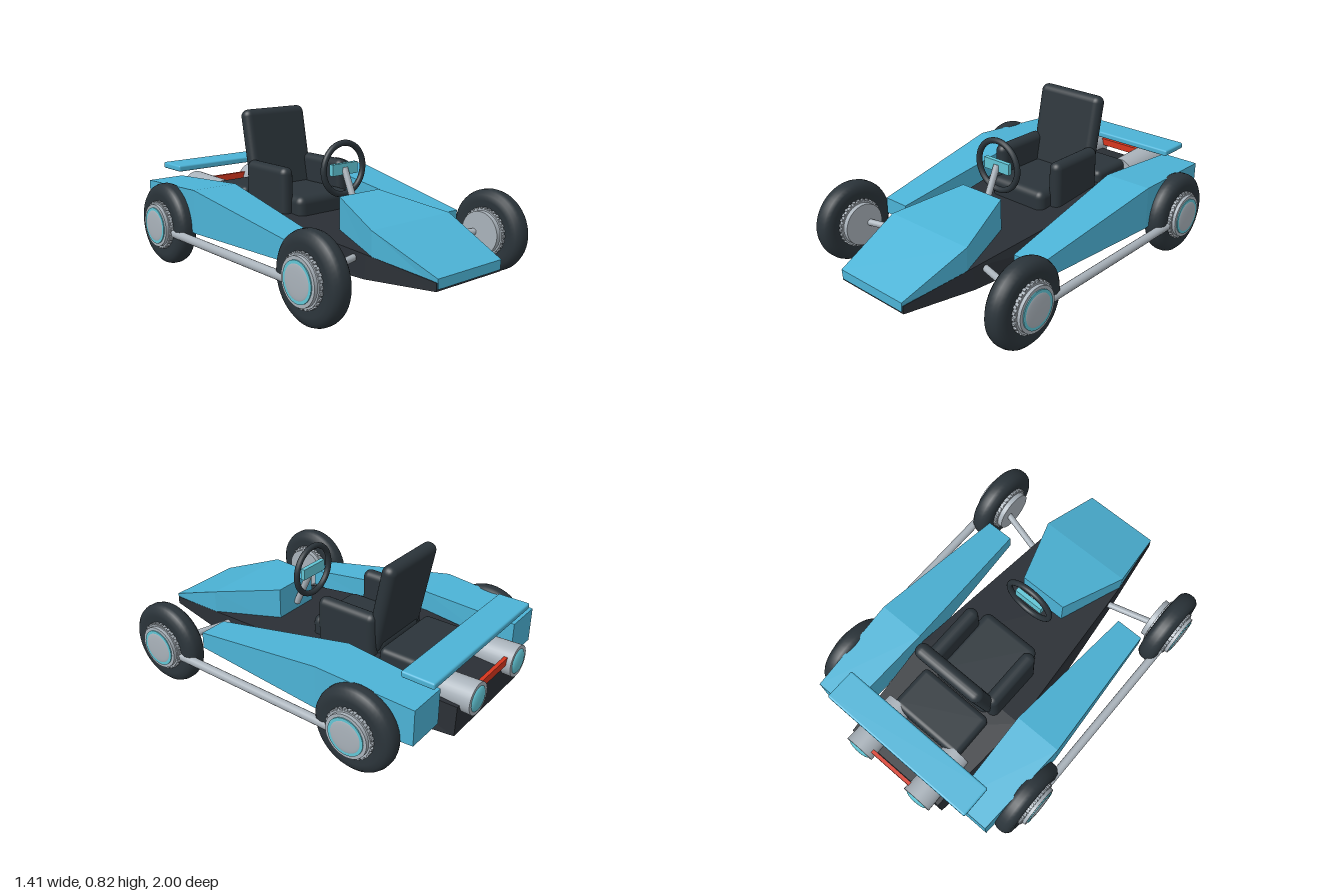
import * as THREE from 'three';
import { RoundedBoxGeometry } from 'three/addons/geometries/RoundedBoxGeometry.js';

const mat = (name, color, extra = {}) => {
  const m = new THREE.MeshStandardMaterial({ color, ...extra });
  m.name = name;
  return m;
};

export function createModel() {
  const root = new THREE.Group();
  root.name = 'goKart';
  const blue = mat('bodyBlue', 0x4cb3d6);
  const dark = mat('chassisDark', 0x2a2f35);
  const rubber = mat('rubberDark', 0x2b343a);
  const metal = mat('metalGrey', 0xa9b2ba);
  const trim = mat('trimCyan', 0x62c6d6);
  const red = mat('lightRed', 0xd6361e);

  const add = (name, geo, material, x = 0, y = 0, z = 0, parent = root) => {
    const m = new THREE.Mesh(geo, material);
    m.name = name;
    m.position.set(x, y, z);
    parent.add(m);
    return m;
  };

  // Flat-sided body lofted through sections, back to front:
  // [z, left bottom x, right bottom x, left top x, right top x, bottom y, top y]
  const loft = (sections) => {
    const rings = sections.map(([z, lb, rb, lt, rt, yb, yt]) =>
      [[lb, yb, z], [rb, yb, z], [rt, yt, z], [lt, yt, z]]);
    const p = [];
    const quad = (a, b, c, d) => p.push(...a, ...b, ...c, ...a, ...c, ...d);
    for (let i = 0; i < rings.length - 1; i++) {
      const a = rings[i], b = rings[i + 1];
      for (let j = 0; j < 4; j++) {
        const k = (j + 1) % 4;
        quad(a[j], a[k], b[k], b[j]);
      }
    }
    const f = rings[rings.length - 1], r = rings[0];
    quad(f[0], f[1], f[2], f[3]);
    quad(r[3], r[2], r[1], r[0]);
    const g = new THREE.BufferGeometry();
    g.setAttribute('position', new THREE.Float32BufferAttribute(p, 3));
    g.computeVertexNormals();
    return g;
  };
  const symmetric = (list) => loft(list.map(([z, b, t, yb, yt]) => [z, -b, b, -t, t, yb, yt]));

  // Round bar between two points
  const bar = (name, a, b, radius, material) => {
    const A = new THREE.Vector3(...a), B = new THREE.Vector3(...b);
    const m = add(name, new THREE.CylinderGeometry(radius, radius, A.distanceTo(B), 16), material);
    m.position.copy(A).add(B).multiplyScalar(0.5);
    m.quaternion.setFromUnitVectors(new THREE.Vector3(0, 1, 0), B.sub(A).normalize());
    return m;
  };

  // Chassis tub and nose cowl
  add('chassis', symmetric([
    [-0.935, 0.31, 0.3, 0.145, 0.3],
    [-0.35, 0.38, 0.345, 0.13, 0.33],
    [0.6, 0.275, 0.268, 0.132, 0.25],
    [0.995, 0.222, 0.22, 0.165, 0.205],
  ]), dark);
  add('noseCowl', symmetric([
    [0.265, 0.135, 0.135, 0.22, 0.447],
    [0.635, 0.262, 0.266, 0.205, 0.372],
    [1, 0.213, 0.218, 0.175, 0.224],
  ]), blue);

  // Side pods
  const pod = [
    [-0.875, 0.36, 0.57, 0.36, 0.57, 0.22, 0.41],
    [-0.35, 0.345, 0.6, 0.34, 0.6, 0.21, 0.442],
    [0.45, 0.39, 0.545, 0.39, 0.545, 0.215, 0.305],
  ];
  add('leftSidePod', loft(pod), blue);
  add('rightSidePod', loft(pod.map(([z, lb, rb, lt, rt, yb, yt]) =>
    [z, -rb, -lb, -rt, -lt, yb, yt])), blue);

  // Seat
  const rounded = (w, h, d, r) => new RoundedBoxGeometry(w, h, d, 4, r);
  add('seatCushion', rounded(0.36, 0.16, 0.44, 0.04), rubber, 0, 0.32, -0.21);
  const back = add('seatBack', rounded(0.41, 0.5, 0.08, 0.038), rubber, 0, 0.573, -0.42);
  back.rotation.x = -0.19;
  for (const s of [-1, 1]) {
    add('seatBolster', rounded(0.075, 0.3, 0.345, 0.036), rubber, s * 0.192, 0.4, -0.238);
  }
  add('engineCover', rounded(0.44, 0.12, 0.26, 0.03), rubber, 0, 0.33, -0.57);

  // Steering
  bar('steeringColumn', [0, 0.32, 0.26], [0, 0.56, 0.15], 0.018, metal);
  add('steeringWheel', new THREE.TorusGeometry(0.134, 0.016, 12, 48), rubber, 0, 0.555, 0.143);
  add('steeringDisplay', new THREE.BoxGeometry(0.17, 0.06, 0.024), trim, 0, 0.555, 0.145);

  // Rear wing, exhausts and tail light
  add('rearWing', rounded(0.925, 0.034, 0.175, 0.01), blue, 0, 0.482, -0.813);
  for (const s of [-1, 1]) {
    const pipe = add('exhaust', new THREE.CylinderGeometry(0.084, 0.076, 0.31, 32), metal, s * 0.2, 0.315, -0.83);
    pipe.rotation.x = -Math.PI / 2;
    const tip = add('exhaustTip', new THREE.SphereGeometry(0.066, 32, 8, 0, Math.PI * 2, 0, Math.PI / 2),
      trim, s * 0.2, 0.315, -0.982);
    tip.rotation.x = -Math.PI / 2;
    tip.scale.y = 0.27;
  }
  add('tailLight', new THREE.BoxGeometry(0.27, 0.04, 0.02), red, 0, 0.34, -0.95);

  // Wheels: tyre, barrel, toothed rim, cyan ring and domed cap
  const tyreProfile = [[0.11, -0.045], [0.165, -0.055], [0.195, -0.05], [0.213, -0.034], [0.22, -0.014],
    [0.22, 0.014], [0.213, 0.034], [0.195, 0.05], [0.165, 0.055], [0.11, 0.045]]
    .map(([r, y]) => new THREE.Vector2(r, y));
  const tyreGeo = new THREE.LatheGeometry(tyreProfile, 48);
  const disc = (r, h) => new THREE.CylinderGeometry(r, r, h, 40);
  for (const s of [-1, 1]) {
    for (const [end, z] of [['front', 0.63], ['rear', -0.6]]) {
      const wheel = new THREE.Group();
      wheel.name = end + (s > 0 ? 'Left' : 'Right') + 'Wheel';
      wheel.position.set(s * 0.61, 0.22, z);
      wheel.rotation.z = -s * Math.PI / 2;
      root.add(wheel);
      add('tyre', tyreGeo, rubber, 0, 0, 0, wheel);
      add('hubBarrel', disc(0.115, 0.18), metal, 0, -0.005, 0, wheel);
      add('hubRim', disc(0.124, 0.135), metal, 0, 0, 0, wheel);
      for (let i = 0; i < 28; i++) {
        const a = i / 28 * Math.PI * 2;
        const tooth = add('rimTooth', new THREE.BoxGeometry(0.014, 0.13, 0.014), metal,
          Math.cos(a) * 0.124, 0, Math.sin(a) * 0.124, wheel);
        tooth.rotation.y = -a;
      }
      add('hubRing', disc(0.098, 0.01), trim, 0, 0.085, 0, wheel);
      const cap = add('hubCap', new THREE.SphereGeometry(0.084, 32, 8, 0, Math.PI * 2, 0, Math.PI / 2),
        metal, 0, 0.089, 0, wheel);
      cap.scale.y = 0.07;
    }
    // Axles and side rails
    bar('frontAxle', [s * 0.24, 0.22, 0.515], [s * 0.56, 0.22, 0.605], 0.018, metal);
    bar('rearAxle', [s * 0.3, 0.22, -0.6], [s * 0.56, 0.22, -0.6], 0.018, metal);
    bar('sideRail', [s * 0.65, 0.193, 0.56], [s * 0.65, 0.193, -0.56], 0.023, metal);
  }
  return root;
}
